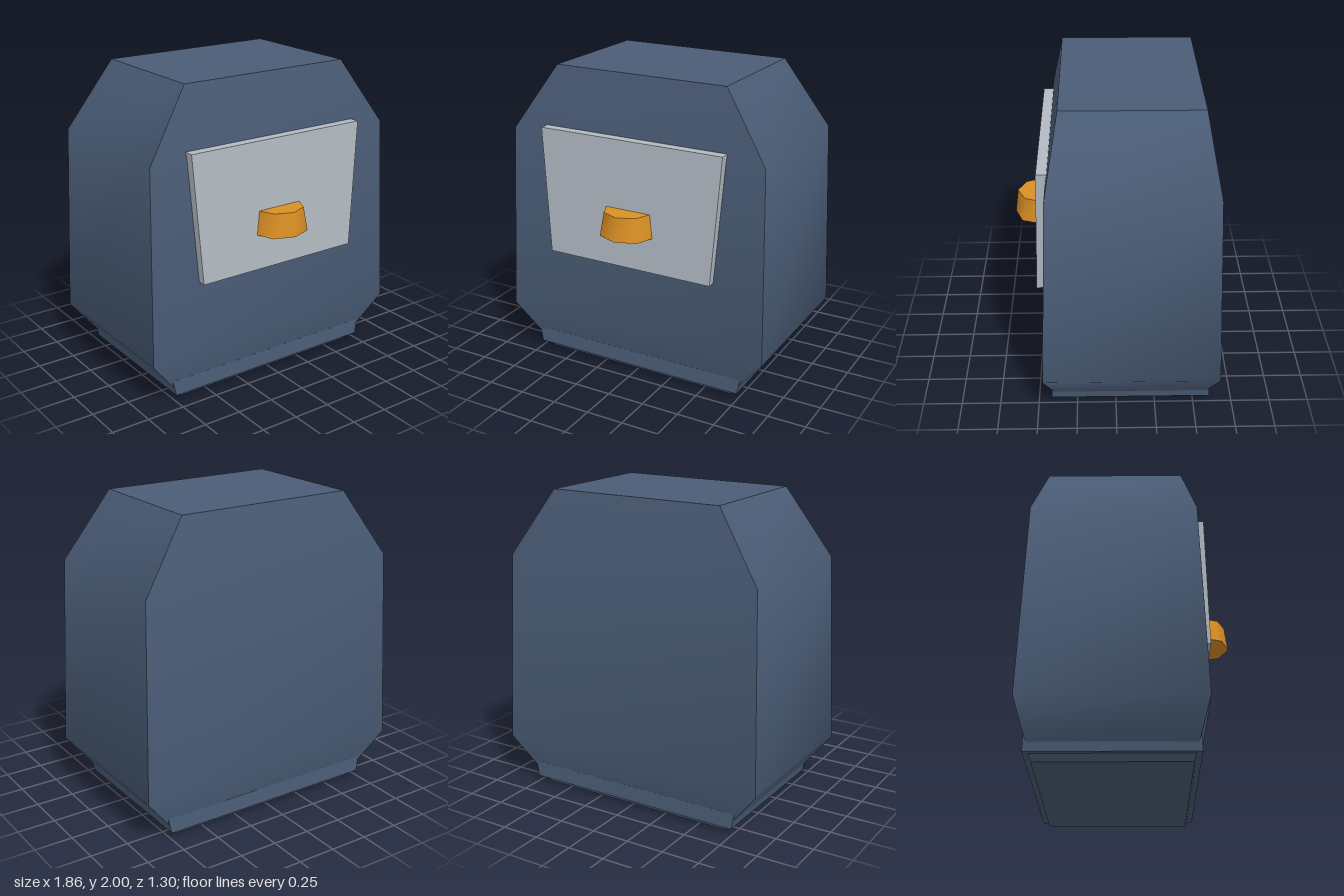
import * as THREE from 'three';
import { toCreasedNormals } from 'three/addons/utils/BufferGeometryUtils.js';

// Closed solid through horizontal rings, listed bottom to top.
// Each ring is { y, pts: [[x, z], ...] }, anticlockwise seen from above.
function loft(rings, crease) {
  const n = rings[0].pts.length;
  const pos = [];
  const index = [];
  for (const { y, pts } of rings) for (const [x, z] of pts) pos.push(x, y, z);
  for (let r = 0; r < rings.length - 1; r++) {
    for (let i = 0; i < n; i++) {
      const a = r * n + i, b = r * n + (i + 1) % n;
      index.push(a, b, b + n, a, b + n, a + n);
    }
  }
  const top = (rings.length - 1) * n;
  for (let i = 1; i < n - 1; i++) {
    index.push(0, i + 1, i, top, top + i, top + i + 1);
  }
  const geo = new THREE.BufferGeometry();
  geo.setAttribute('position', new THREE.Float32BufferAttribute(pos, 3));
  geo.setIndex(index);
  return toCreasedNormals(geo, crease);
}

// Rectangular ring, symmetric in x
const rect = (y, x, front, back) => ({
  y, pts: [[x, front], [x, back], [-x, back], [-x, front]],
});

// Beak ring: flat at the back, blunt point at the front
const beakRing = (y, side, cheek, cheekZ, tipZ) => ({
  y,
  pts: [[0, tipZ], [cheek, cheekZ], [side, 0.475], [side, 0.45],
    [-side, 0.45], [-side, 0.475], [-cheek, cheekZ]],
});

export function createModel() {
  const flatColour = (name, color) => {
    const m = new THREE.MeshStandardMaterial({ color });
    m.name = name;
    return m;
  };
  const slate = flatColour('slate blue', 0x4a5c76);
  const grey = flatColour('pale grey', 0xb2bac2);
  const orange = flatColour('orange', 0xdb9024);

  const model = new THREE.Group();
  model.name = 'model';
  const add = (name, geometry, material) => {
    const mesh = new THREE.Mesh(geometry, material);
    mesh.name = name;
    model.add(mesh);
  };

  // Tapered body with softly shaded bends and sharp corners
  add('body', loft([
    rect(0, 0.68, 0.37, -0.56),
    rect(0.31, 0.93, 0.46, -0.65),
    rect(1.565, 0.89, 0.415, -0.605),
    rect(2, 0.595, 0.335, -0.525),
  ], 0.8), slate);

  // Narrow band around the foot of the body
  add('baseBand', loft([
    rect(0.04, 0.745, 0.416, -0.606),
    rect(0.14, 0.765, 0.411, -0.601),
  ], 0.8), slate);

  // Raised face panel, wider at the top and leaning with the body
  add('facePanel', loft([
    rect(0.785, 0.58, 0.495, 0.42),
    rect(1.615, 0.64, 0.47, 0.4),
  ], 0.5), grey);

  // Faceted beak
  add('beak', loft([
    beakRing(1.015, 0.18, 0.135, 0.6, 0.65),
    beakRing(1.17, 0.16, 0.115, 0.58, 0.63),
  ], 1.0), orange);

  return model;
}
